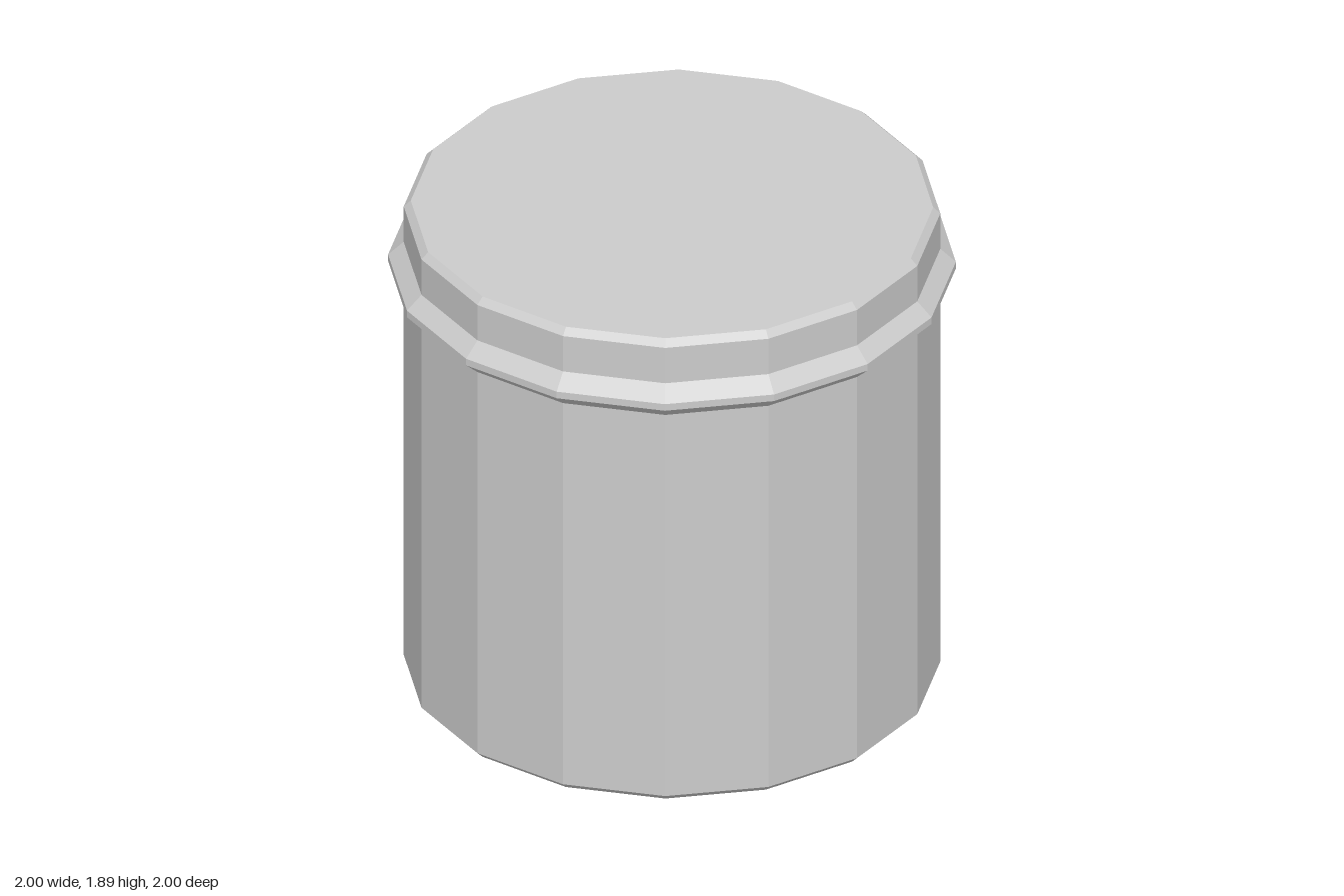
import * as THREE from 'three';

const SIDES = 16;
const RADIUS = 0.945; // wall of body and lid
const CAP = 0.92; // flat ends inside the bevel

export function createModel() {
  const model = new THREE.Group();
  model.name = 'lidded canister';
  const material = new THREE.MeshStandardMaterial({ color: 0xcccccc, flatShading: true });

  // Turns a profile of [radius, height] pairs, listed from bottom to top
  const addTurned = (name, profile) => {
    const points = profile.map(([r, y]) => new THREE.Vector2(r, y));
    const mesh = new THREE.Mesh(new THREE.LatheGeometry(points, SIDES), material);
    mesh.name = name;
    model.add(mesh);
  };

  // Straight body with a closed, bevelled base
  addTurned('body', [[0, 0], [CAP, 0], [RADIUS, 0.025], [RADIUS, 1.59]]);

  // Flared rim with a narrow flat edge
  addTurned('rim', [[RADIUS, 1.59], [1, 1.64], [1, 1.667], [RADIUS, 1.72]]);

  // Lid wall with a bevelled, closed top
  addTurned('lid', [[RADIUS, 1.72], [RADIUS, 1.865], [CAP, 1.89], [0, 1.89]]);

  return model;
}
